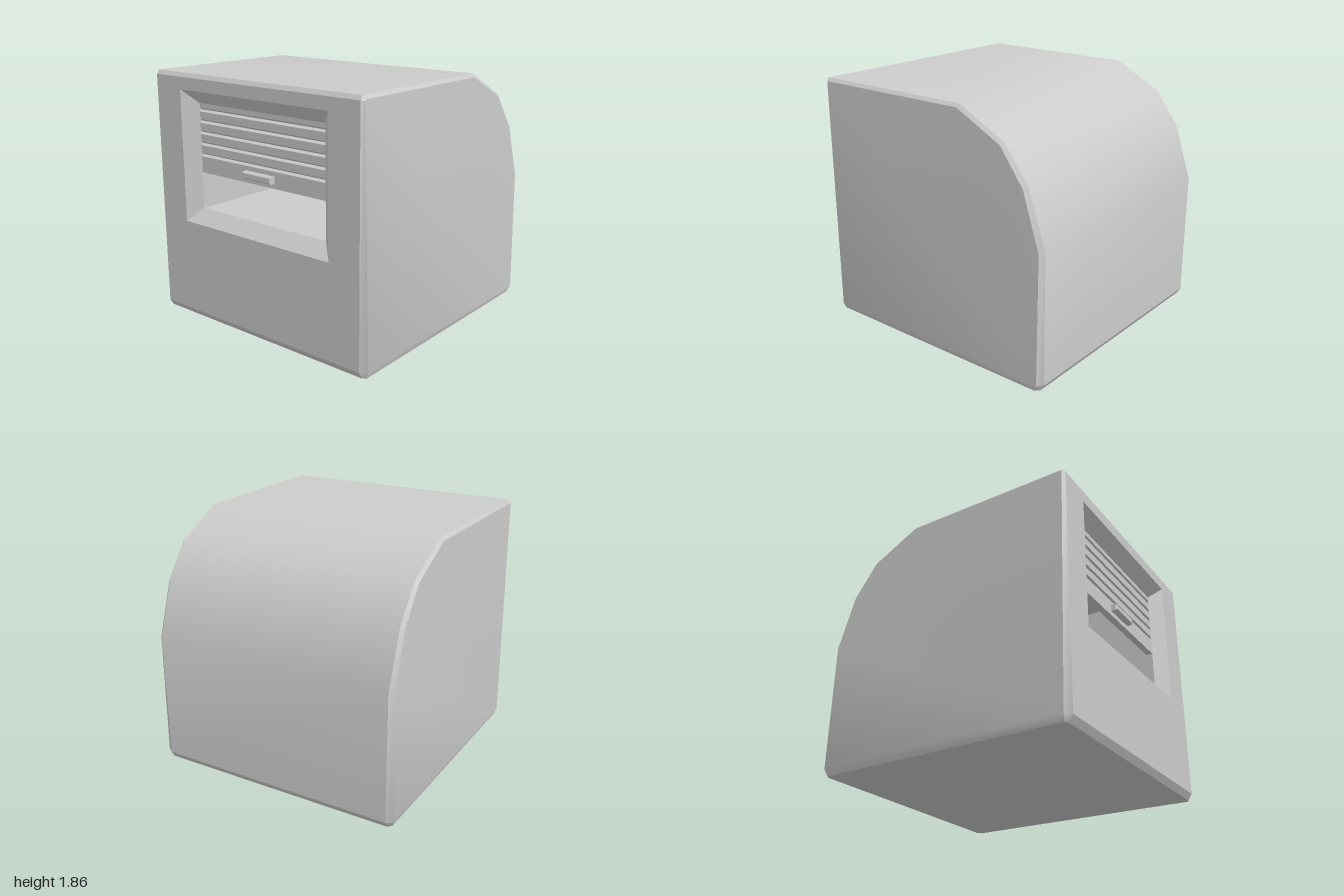
import * as THREE from 'three';
import { toCreasedNormals } from 'three/addons/utils/BufferGeometryUtils.js';

const material = new THREE.MeshStandardMaterial({ color: 0xcccccc });

function part(name, geometry) {
  const mesh = new THREE.Mesh(geometry, material);
  mesh.name = name;
  return mesh;
}

// Fan of triangles over a convex, counter-clockwise loop
function fan(out, loop) {
  for (let i = 1; i < loop.length - 1; i++) out.push(...loop[0], ...loop[i], ...loop[i + 1]);
}

// Skin between consecutive closed rings; skip leaves one side open
function loft(out, rings, skip = () => false) {
  for (let r = 0; r < rings.length - 1; r++) {
    const a = rings[r], b = rings[r + 1];
    a.forEach((p, i) => {
      const j = (i + 1) % a.length;
      if (!skip(r, i)) fan(out, [p, b[i], b[j], a[j]]);
    });
  }
}

function build(out) {
  const g = new THREE.BufferGeometry();
  g.setAttribute('position', new THREE.Float32BufferAttribute(out, 3));
  return toCreasedNormals(g, 0.52);
}

// Housing shell: side outlines as [z, y], front bottom, over the top, to back bottom
function housing() {
  const outer = [[0.97, 0], [1, 0.05], [1, 1.83], [0.98, 1.86], [-0.3, 1.86],
    [-0.67, 1.67], [-0.86, 1.42], [-1, 1.01], [-1, 0.05], [-0.97, 0]];
  const inner = [[0.955, 0], [0.96, 0.05], [0.98, 1.825], [0.97, 1.835], [-0.29, 1.835],
    [-0.655, 1.65], [-0.84, 1.4], [-0.97, 1], [-0.97, 0.05], [-0.94, 0]];
  const edge = s => outer.map(([z, y]) => [s * (0.955 - 0.0125 * (1 - z)), y, z]);
  // Side walls lean in slightly towards the top and the back
  const wall = s => inner.map(([z, y]) =>
    [s * (1 - 0.014 * y - 0.0125 * (0.97 - z) - (y === 0 ? 0.02 : 0)), y, z]);
  const out = [];
  const left = wall(1), right = wall(-1);
  loft(out, [right, edge(-1), edge(1), left], (r, i) => r === 1 && i === 1);
  fan(out, right.slice(1, 9));
  fan(out, left.slice(1, 9).reverse());
  fan(out, [right[0], right[1], right[8], right[9]]);
  fan(out, [left[9], left[8], left[1], left[0]]);
  return build(out);
}

const rect = (w, lo, hi, z) => [[-w, lo, z], [w, lo, z], [w, hi, z], [-w, hi, z]];

// Front panel with the hatch opening cut out
function frontPanel() {
  const outline = points => points.map(([x, y]) => new THREE.Vector2(x, y));
  const shape = new THREE.Shape(outline(rect(0.955, 0.05, 1.83, 0)));
  shape.holes.push(new THREE.Path(outline(rect(0.7, 0.75, 1.74, 0)).reverse()));
  return new THREE.ShapeGeometry(shape).translate(0, 0, 1);
}

// Splayed frame and the chamber behind it
function opening() {
  const out = [];
  const back = rect(0.6, 0.85, 1.64, 0);
  loft(out, [back, rect(0.6, 0.85, 1.64, 0.91), rect(0.7, 0.75, 1.74, 1)]);
  fan(out, back);
  return build(out);
}

// Slatted shutter: a [z, y] profile with V grooves, extruded sideways
function shutter() {
  const front = 0.91, shape = new THREE.Shape();
  shape.moveTo(front - 0.05, 1.125);
  shape.lineTo(front, 1.125);
  for (let i = 4; i >= 0; i--) {
    const y = 1.592 - i * 0.083;
    shape.lineTo(front, y - 0.014);
    shape.lineTo(front - 0.02, y);
    shape.lineTo(front, y + 0.014);
  }
  shape.lineTo(front, 1.64);
  shape.lineTo(front - 0.05, 1.64);
  return new THREE.ExtrudeGeometry(shape, { depth: 1.2, bevelEnabled: false })
    .translate(0, 0, -0.6).rotateY(-Math.PI / 2);
}

// Bevelled pull bar
function handle() {
  const shape = new THREE.Shape(rect(0.127, -0.017, 0.017, 0).map(([x, y]) => new THREE.Vector2(x, y)));
  return new THREE.ExtrudeGeometry(shape, {
    depth: 0.04, bevelSize: 0.009, bevelThickness: 0.009, bevelSegments: 1,
  }).translate(0.003, 1.187, 0.905);
}

export function createModel() {
  const model = new THREE.Group();
  model.name = 'shutteredCabinet';
  model.add(
    part('housing', housing()),
    part('frontPanel', frontPanel()),
    part('hatchOpening', opening()),
    part('shutter', shutter()),
    part('shutterHandle', handle()),
  );
  return model;
}
